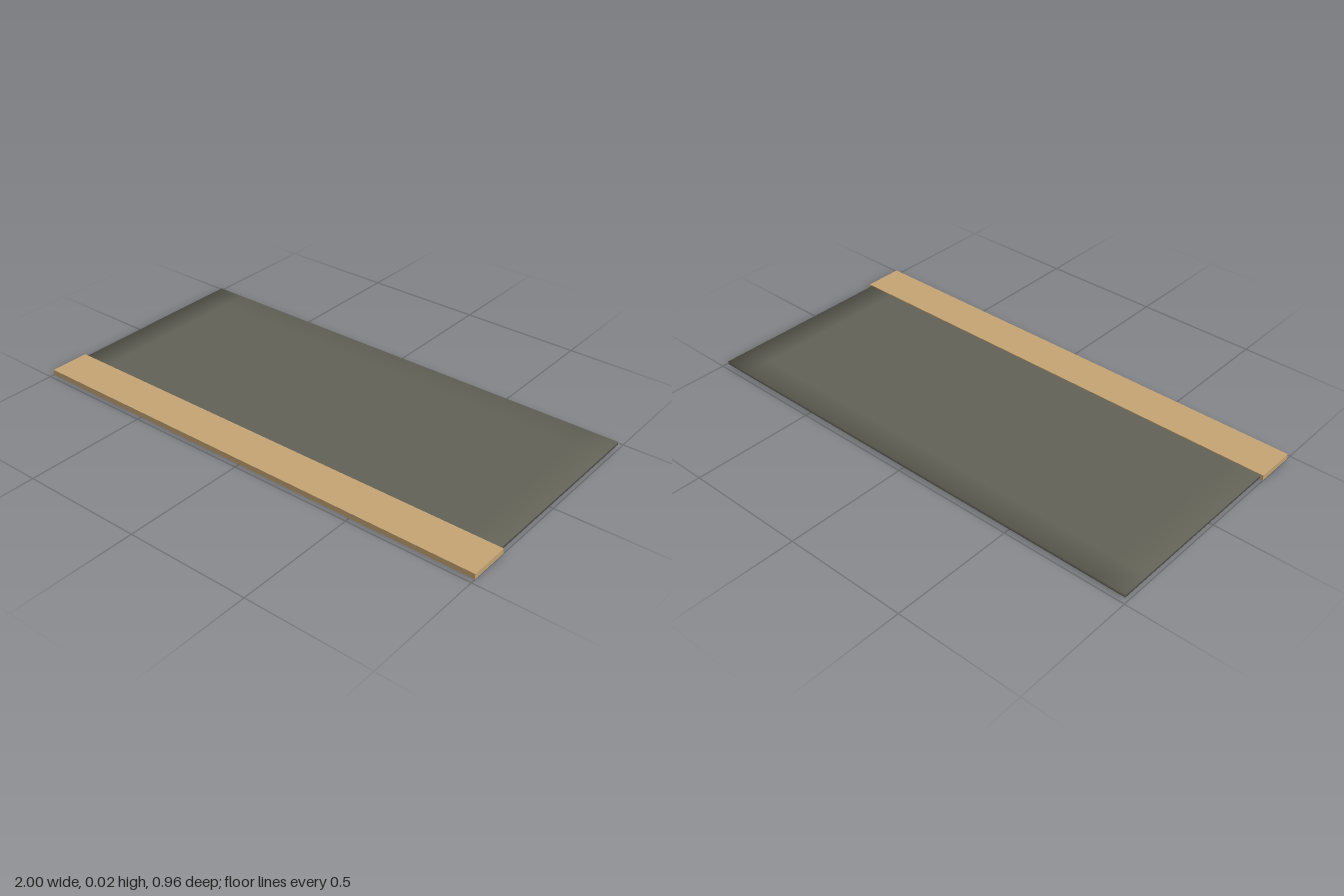
import * as THREE from 'three';

const wood = new THREE.MeshStandardMaterial({ name: 'wood', color: 0xc4a373 });
const darkSheet = new THREE.MeshStandardMaterial({ name: 'dark sheet', color: 0x626156 });

// Box spanning the given ranges
function boxBetween(x0, x1, y0, y1, z0, z1, nx = 1, nz = 1) {
  const geo = new THREE.BoxGeometry(x1 - x0, y1 - y0, z1 - z0, nx, 1, nz);
  return geo.translate((x0 + x1) / 2, (y0 + y1) / 2, (z0 + z1) / 2);
}

// Shade the rim softly: each border normal is the mean of the faces that meet there
function softenRim(geo) {
  geo.computeBoundingBox();
  const { min, max } = geo.boundingBox;
  const pos = geo.attributes.position;
  const normal = new THREE.Vector3();
  const side = (v, a, b) => (v < a + 1e-4 ? -1 : v > b - 1e-4 ? 1 : 0);
  for (let i = 0; i < pos.count; i++) {
    normal.set(
      side(pos.getX(i), min.x, max.x),
      side(pos.getY(i), min.y, max.y),
      side(pos.getZ(i), min.z, max.z)
    ).normalize();
    geo.attributes.normal.setXYZ(i, normal.x, normal.y, normal.z);
  }
  return geo;
}

export function createModel() {
  const model = new THREE.Group();
  model.name = 'edgedPanel';

  // Wooden rail along the front
  const rail = new THREE.Mesh(boxBetween(-1, 1, 0, 0.022, 0.315, 0.48), wood);
  rail.name = 'frontRail';

  // Thin sheet, its front edge slotted into the rail
  const sheet = new THREE.Mesh(
    softenRim(boxBetween(-0.988, 0.988, 0.006, 0.018, -0.48, 0.45, 16, 8)),
    darkSheet
  );
  sheet.name = 'sheet';

  model.add(rail, sheet);
  return model;
}
